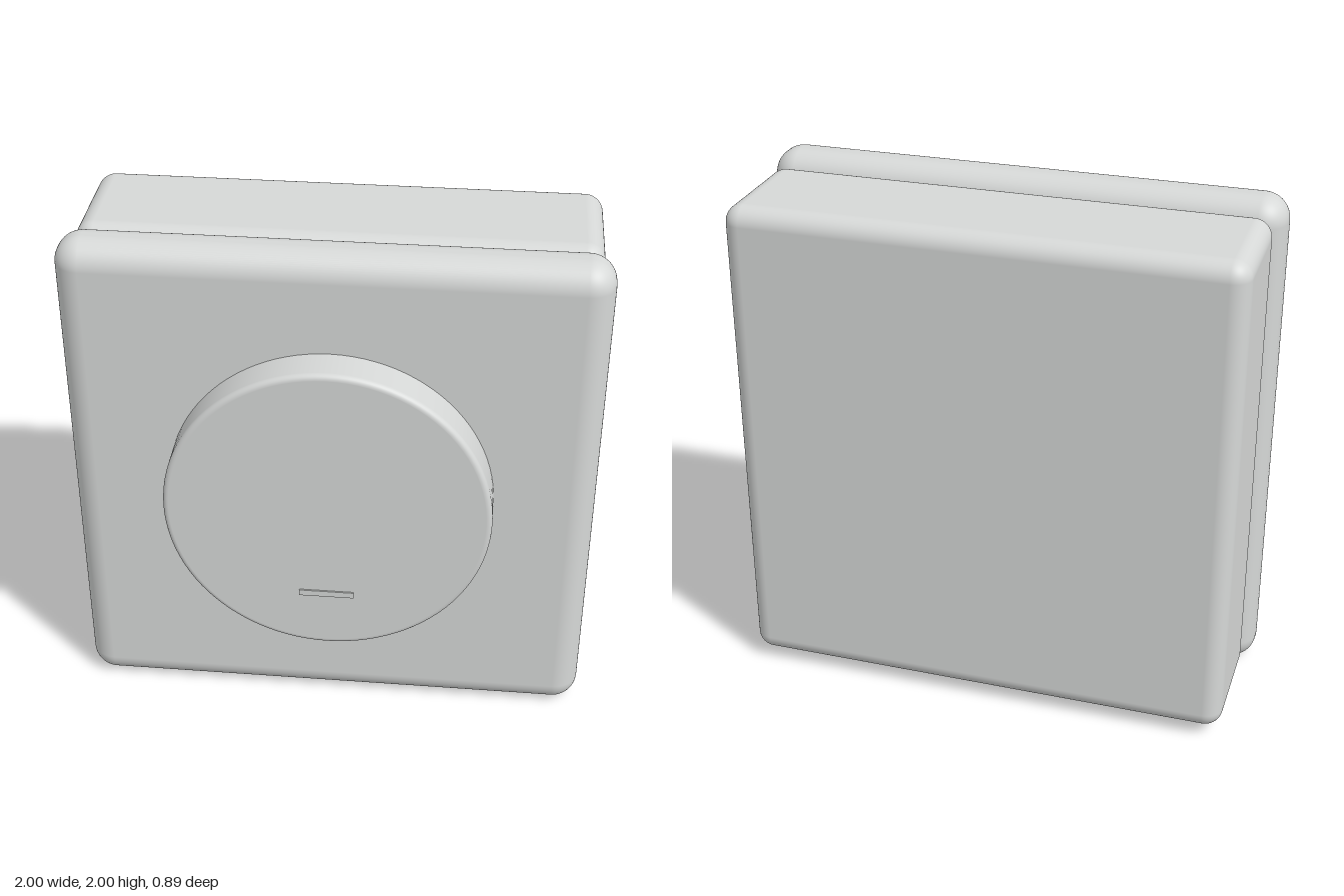
import * as THREE from 'three';
import { RoundedBoxGeometry } from 'three/addons/geometries/RoundedBoxGeometry.js';

const shell = new THREE.MeshStandardMaterial({ color: 0xd6d8d7 });
shell.name = 'light grey shell';
const dark = new THREE.MeshStandardMaterial({ color: 0x1c1f22 });
dark.name = 'black recess';
const metal = new THREE.MeshStandardMaterial({ color: 0xb4b8b6 });
metal.name = 'screw metal';

function add(parent, name, geometry, material, x = 0, y = 0, z = 0) {
  const mesh = new THREE.Mesh(geometry, material);
  mesh.name = name;
  mesh.position.set(x, y, z);
  parent.add(mesh);
  return mesh;
}

// Round knob with a small rolled front edge, axis along z
function knobGeometry(radius, depth, bevel) {
  const points = [new THREE.Vector2(radius, 0), new THREE.Vector2(radius, depth - bevel - 0.002)];
  for (let i = 0; i <= 6; i++) {
    const a = (i / 6) * Math.PI / 2;
    points.push(new THREE.Vector2(radius - bevel + Math.cos(a) * bevel, depth - bevel + Math.sin(a) * bevel));
  }
  points.push(new THREE.Vector2(radius - bevel - 0.002, depth), new THREE.Vector2(0, depth));
  return new THREE.LatheGeometry(points, 96).rotateX(Math.PI / 2);
}

// Shallow domed screw head facing down
function screwHeadGeometry(radius, height) {
  const points = [new THREE.Vector2(radius, 0), new THREE.Vector2(radius, height * 0.4)];
  for (let i = 1; i <= 5; i++) {
    const a = (i / 5) * Math.PI / 2;
    points.push(new THREE.Vector2(Math.cos(a) * radius, height * (0.4 + 0.6 * Math.sin(a))));
  }
  points[points.length - 1].x = 0;
  return new THREE.LatheGeometry(points, 32).rotateX(Math.PI);
}

// Keyhole with a screw in its narrow end, on the underside
function screwMount(x) {
  const mount = new THREE.Group();
  mount.name = 'screwMount';
  mount.position.x = x;
  add(mount, 'keyholeOpening', new THREE.CylinderGeometry(0.083, 0.083, 0.016, 32), dark, 0, 0.034, -0.157);
  add(mount, 'keyholeSlot', new THREE.BoxGeometry(0.06, 0.014, 0.12), dark, 0, 0.034, -0.09);
  add(mount, 'keyholeEnd', new THREE.CylinderGeometry(0.066, 0.066, 0.016, 32), dark, 0, 0.034, -0.03);
  add(mount, 'screwHead', screwHeadGeometry(0.056, 0.018), metal, 0, 0.028, -0.03);
  for (const turn of [0, Math.PI / 2]) {
    const slot = add(mount, 'screwSlot', new THREE.BoxGeometry(0.056, 0.008, 0.013), dark, 0, 0.0125, -0.03);
    slot.rotation.y = turn + Math.PI / 4;
  }
  return mount;
}

export function createModel() {
  const model = new THREE.Group();
  model.name = 'wallDial';

  // Housing and pillowed face plate
  add(model, 'frontPlate', new RoundedBoxGeometry(2, 2, 0.22, 8, 0.1), shell, 0, 1, 0.18);
  add(model, 'backHousing', new RoundedBoxGeometry(1.93, 1.925, 0.515, 8, 0.07), shell, 0, 1.0025, -0.1875);

  // Dial and its slim marker
  add(model, 'dial', knobGeometry(0.617, 0.16, 0.02), shell, 0, 1.003, 0.28);
  add(model, 'dialMarker', new THREE.BoxGeometry(0.21, 0.025, 0.009), shell, 0, 0.637, 0.4415);

  for (const side of [-1, 1]) model.add(screwMount(side * 0.34));
  return model;
}
